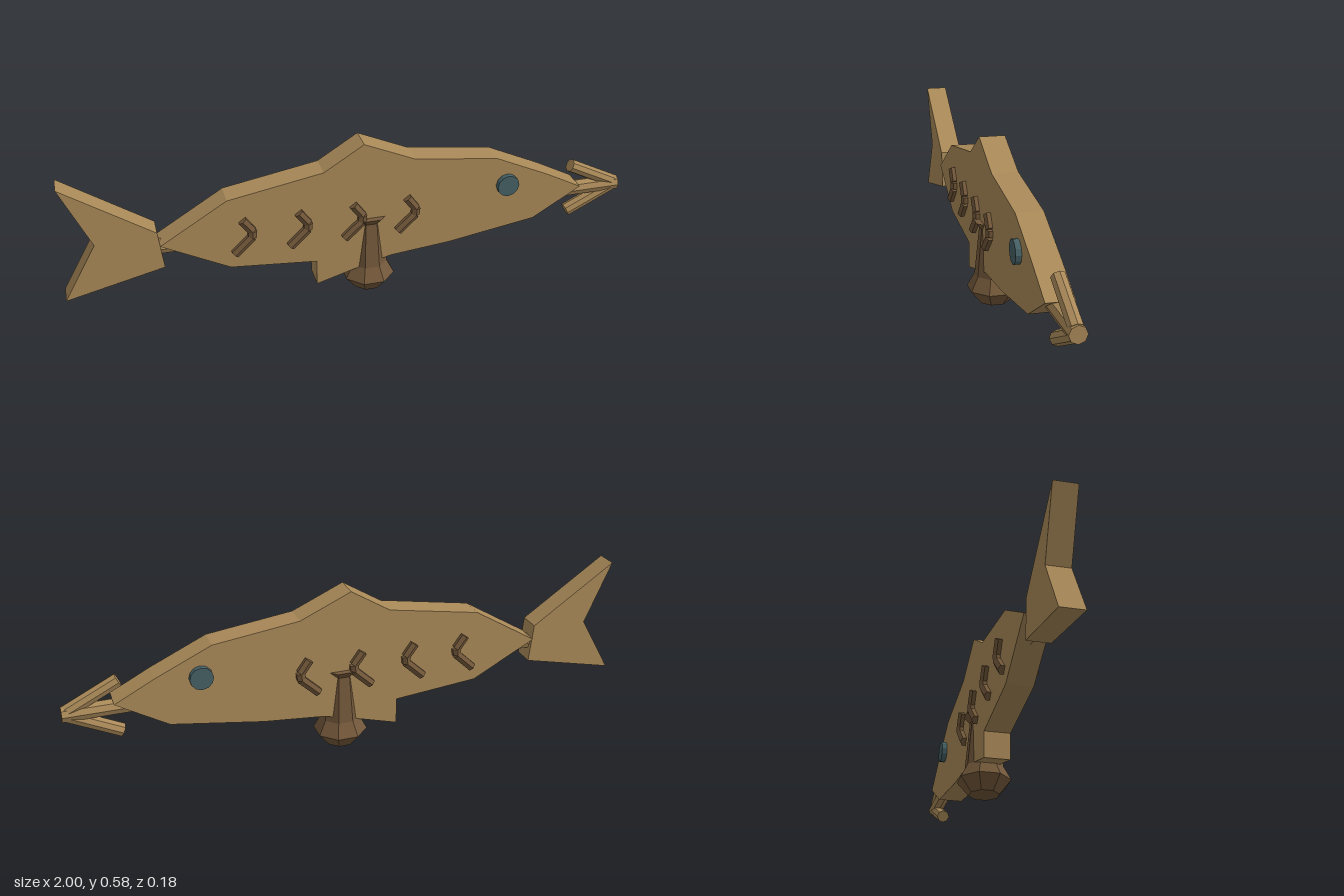
import * as THREE from 'three';

export function createModel() {
  const mat = (name, color) => {
    const m = new THREE.MeshStandardMaterial({ color, flatShading: true });
    m.name = name;
    return m;
  };
  const bronze = mat('bronze', 0xa98958);
  const darkBronze = mat('dark bronze', 0x73583a);
  const teal = mat('teal', 0x456064);

  const model = new THREE.Group();
  model.name = 'fishOnStand';

  function add(name, geometry, material, parent = model) {
    const mesh = new THREE.Mesh(geometry, material);
    mesh.name = name;
    parent.add(mesh);
    return mesh;
  }

  // Flat slab cut from an outline, centred on z = 0
  function slab(name, points, depth) {
    const shape = new THREE.Shape(points.map(([x, y]) => new THREE.Vector2(x, y)));
    const geometry = new THREE.ExtrudeGeometry(shape, { depth, bevelEnabled: false });
    return add(name, geometry.translate(0, 0, -depth / 2), bronze);
  }

  // Faceted bar between two points
  function bar(name, a, b, radius, sides, material, parent) {
    const from = new THREE.Vector3(...a), to = new THREE.Vector3(...b);
    const dir = to.clone().sub(from);
    const mesh = add(name, new THREE.CylinderGeometry(radius, radius, dir.length(), sides), material, parent);
    mesh.position.copy(from).add(to).multiplyScalar(0.5);
    mesh.quaternion.setFromUnitVectors(new THREE.Vector3(0, 1, 0), dir.normalize());
    return mesh;
  }

  // Body with back ridge and belly fin
  slab('body', [
    [-0.675, 0.3], [-0.445, 0.178], [-0.145, 0.15], [-0.145, 0.055], [0.01, 0.1],
    [0.125, 0.13], [0.34, 0.15], [0.66, 0.2], [0.835, 0.305], [0.7, 0.375],
    [0.505, 0.465], [0.205, 0.505], [0.025, 0.585], [-0.115, 0.498], [-0.445, 0.44],
  ], 0.09);

  // Forked tail
  slab('tail', [
    [-0.665, 0.213], [-0.68, 0.35], [-0.98, 0.555], [-0.885, 0.335], [-1, 0.135],
  ], 0.078);

  // Arrow shaft through the body, with two barbs at the nose
  bar('shaft', [-0.68, 0.277, 0], [1, 0.277, 0], 0.028, 8, bronze);
  for (const s of [1, -1]) {
    bar('arrowBarb', [0.81, 0.278 + s * 0.093, 0], [0.982, 0.278 + s * 0.007, 0], 0.024, 8, bronze);
  }

  // Eyes and bent scale marks on both sides
  const bend = [[-0.398, 0.36], [-0.366, 0.316], [-0.368, 0.292], [-0.43, 0.233]];
  for (const side of [1, -1]) {
    const eye = add('eye', new THREE.CylinderGeometry(0.04, 0.04, 0.02, 12), teal);
    eye.rotation.x = Math.PI / 2;
    eye.position.set(0.548, 0.358, side * 0.054);

    for (let i = 0; i < 4; i++) {
      const scale = new THREE.Group();
      scale.name = 'scaleMark';
      scale.position.set(i * 0.192, 0, side * 0.05);
      for (let j = 0; j < 3; j++) {
        bar('scaleBar', [...bend[j], 0], [...bend[j + 1], 0], 0.017, 6, darkBronze, scale);
      }
      model.add(scale);
    }
  }

  // Eight-sided stand with flat faces to the front and sides
  const profile = [[0, 0], [0.05, 0], [0.088, 0.05], [0.063, 0.1], [0.0475, 0.27], [0.067, 0.295], [0, 0.295]];
  const k = 1 / Math.cos(Math.PI / 8);
  const stand = add('stand', new THREE.LatheGeometry(
    profile.map(([r, y]) => new THREE.Vector2(r * k, y)), 8, Math.PI / 8), darkBronze);
  stand.position.x = 0.052;

  return model;
}
